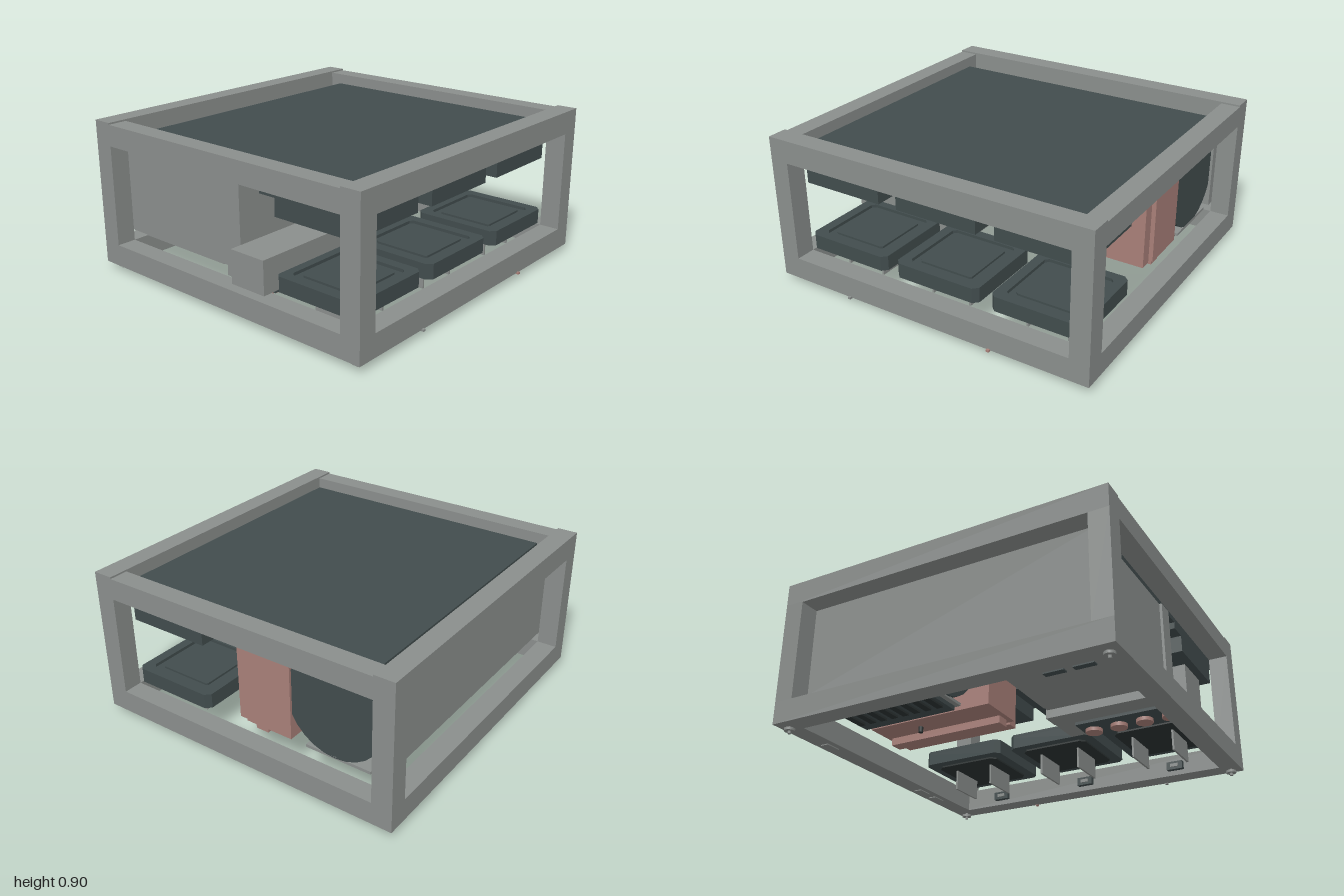
import * as THREE from 'three';

const mat = (name, color) => {
  const m = new THREE.MeshStandardMaterial({ color });
  m.name = name;
  return m;
};

export function createModel() {
  const grey = mat('frame grey', 0x8a8e8c);
  const dark = mat('dark slate', 0x414c4d);
  const black = mat('vent black', 0x2b3232);
  const pink = mat('dusty red', 0xa87f78);
  const model = new THREE.Group();
  model.name = 'equipmentRack';

  const add = (name, geometry, material) => {
    const mesh = new THREE.Mesh(geometry, material);
    mesh.name = name;
    model.add(mesh);
    return mesh;
  };
  // Box given by its minimum and maximum on each axis
  const box = (name, material, x0, x1, y0, y1, z0, z1) => {
    const g = new THREE.BoxGeometry(x1 - x0, y1 - y0, z1 - z0);
    g.translate((x0 + x1) / 2, (y0 + y1) / 2, (z0 + z1) / 2);
    return add(name, g, material);
  };
  // Upright cylinder between two heights
  const disc = (name, material, r, x, y0, y1, z, sides = 20) => {
    const g = new THREE.CylinderGeometry(r, r, y1 - y0, sides);
    g.translate(x, (y0 + y1) / 2, z);
    return add(name, g, material);
  };
  // Rectangular outline with cut corners
  const outline = (Path, w, d, c) => {
    const a = w / 2, b = d / 2;
    return new Path([[-a + c, -b], [a - c, -b], [a, -b + c], [a, b - c], [a - c, b], [-a + c, b], [-a, b - c], [-a, -b + c]]
      .map(p => new THREE.Vector2(...p)));
  };
  // Flat plate with cut corners lying on height y, with an optional square hole
  const plate = (name, material, w, d, c, y, h, x, z, hole) => {
    const s = outline(THREE.Shape, w, d, c);
    if (hole) s.holes.push(outline(THREE.Path, hole, hole, 0.02));
    const g = new THREE.ExtrudeGeometry(s, { depth: h, bevelEnabled: false });
    g.rotateX(-Math.PI / 2).translate(x, y, z);
    return add(name, g, material);
  };

  // Open frame: posts, beams and feet
  for (const s of [-1, 1]) {
    const xa = s < 0 ? -1 : 0.885, xb = s < 0 ? -0.885 : 1;
    for (const [z0, z1, zf] of [[0.84, 0.96, 0.9], [-0.97, -0.85, -0.9]]) {
      box('post', grey, xa, xb, 0.17, 0.77, z0, z1);
      disc('footPad', grey, 0.03, s * 0.94, 0.015, 0.03, zf);
      disc('footPin', grey, 0.01, s * 0.94, 0, 0.04, zf, 10);
    }
    box('sideTopBeam', grey, xa, xb, 0.765, 0.89, -0.85, 0.84);
    box('sideBottomBeam', grey, xa, xb, 0.04, 0.17, -0.85, 0.84);
  }
  for (const [z0, z1] of [[0.84, 0.96], [-0.97, -0.85]]) {
    box('crossTopBeam', grey, -1, 1, 0.765, 0.9, z0, z1);
    box('crossBottomBeam', grey, -1, 1, 0.04, 0.17, z0, z1);
  }
  for (const z of [0.525, 0.36, -0.56])
    box('sideTab', grey, 0.92, 0.97, 0.034, 0.04, z - 0.05, z + 0.05);

  // Panels
  box('topPanel', dark, -0.885, 0.885, 0.735, 0.825, -0.775, 0.84);
  box('upperCarrier', dark, -0.885, 0.885, 0.695, 0.735, 0.21, 0.84);
  box('backPanel', grey, -0.885, 0.885, 0.235, 0.77, -0.85, -0.8);

  // Upper and lower rows of units
  for (const x of [-0.63, 0, 0.625])
    box('upperUnit', dark, x - 0.255, x + 0.255, 0.595, 0.695, 0.315, 0.82);
  for (const x of [-0.615, -0.005, 0.615]) {
    plate('lowerTray', dark, 0.54, 0.535, 0.03, 0.19, 0.07, x, 0.57);
    plate('trayRim', dark, 0.54, 0.535, 0.03, 0.26, 0.018, x, 0.57, 0.42);
    plate('trayScreen', dark, 0.34, 0.34, 0.01, 0.26, 0.012, x, 0.57);
    plate('trayBase', black, 0.42, 0.42, 0.03, 0.18, 0.01, x, 0.57);
    for (const s of [-1, 1])
      box('trayBracket', grey, x + s * 0.125 - 0.006, x + s * 0.125 + 0.006, 0.055, 0.185, 0.455, 0.695);
    // Clip on the inside of the front beam
    box('beamClip', dark, x - 0.05, x + 0.05, 0.07, 0.12, 0.81, 0.84);
    box('clipSlot', grey, x - 0.025, x + 0.025, 0.085, 0.105, 0.803, 0.811);
  }

  // Grey cabinet with front slab and low box
  box('cabinet', grey, -0.885, -0.175, 0.235, 0.735, -0.8, -0.03);
  box('cabinetFront', grey, -0.9, -0.165, 0.185, 0.735, -0.03, 0.075);
  box('lowBox', grey, -0.97, -0.165, 0.19, 0.385, 0.075, 0.31);
  box('cabinetBase', grey, -0.86, -0.19, 0.215, 0.235, -0.76, -0.1);
  box('cabinetHatch', grey, -0.78, -0.22, 0.192, 0.215, -0.71, -0.37);
  for (const x of [-0.65, -0.48])
    box('hatchSlot', dark, x - 0.06, x + 0.06, 0.184, 0.192, -0.56, -0.52);

  // Knob strip under the low box
  box('knobStrip', dark, -0.88, -0.28, 0.172, 0.19, 0.11, 0.3);
  for (let i = 0; i < 4; i++) disc('knob', pink, 0.05, -0.35 - i * 0.157, 0.15, 0.172, 0.22);

  // Red machine block
  box('machineBody', pink, 0.07, 0.885, 0.235, 0.735, -0.275, 0.02);
  box('machineFace', pink, 0.1, 0.86, 0.222, 0.735, 0.02, 0.09);
  const snout = new THREE.CylinderGeometry(0.1, 0.1, 0.075, 32);
  snout.rotateX(Math.PI / 2).translate(0.575, 0.375, 0.1275);
  add('machineSnout', snout, pink);
  box('machineRail', pink, 0.1, 0.86, 0.19, 0.235, -0.1, -0.02);
  disc('machineStud', black, 0.015, 0.6, 0.2, 0.235, -0.17, 10);

  // Drum, sunk into the machine, the top panel and the back panel
  const drum = new THREE.CylinderGeometry(0.298, 0.298, 0.68, 28);
  drum.rotateZ(Math.PI / 2).translate(0.53, 0.518, -0.54);
  add('drum', drum, dark);

  // Vent beneath the drum
  box('ventBase', grey, 0.2, 0.87, 0.215, 0.232, -0.76, -0.36);
  box('ventPlate', dark, 0.23, 0.84, 0.19, 0.215, -0.705, -0.375);
  for (let i = 0; i < 8; i++) {
    const x = 0.27 + i * 0.076;
    box('ventSlat', black, x - 0.02, x + 0.02, 0.178, 0.19, -0.62, -0.46);
  }

  // Small pins on the front beam
  for (const [x, m] of [[-0.505, grey], [0.42, pink]])
    box('frontPin', m, x - 0.008, x + 0.008, 0.034, 0.046, 0.95, 0.974);

  return model;
}
